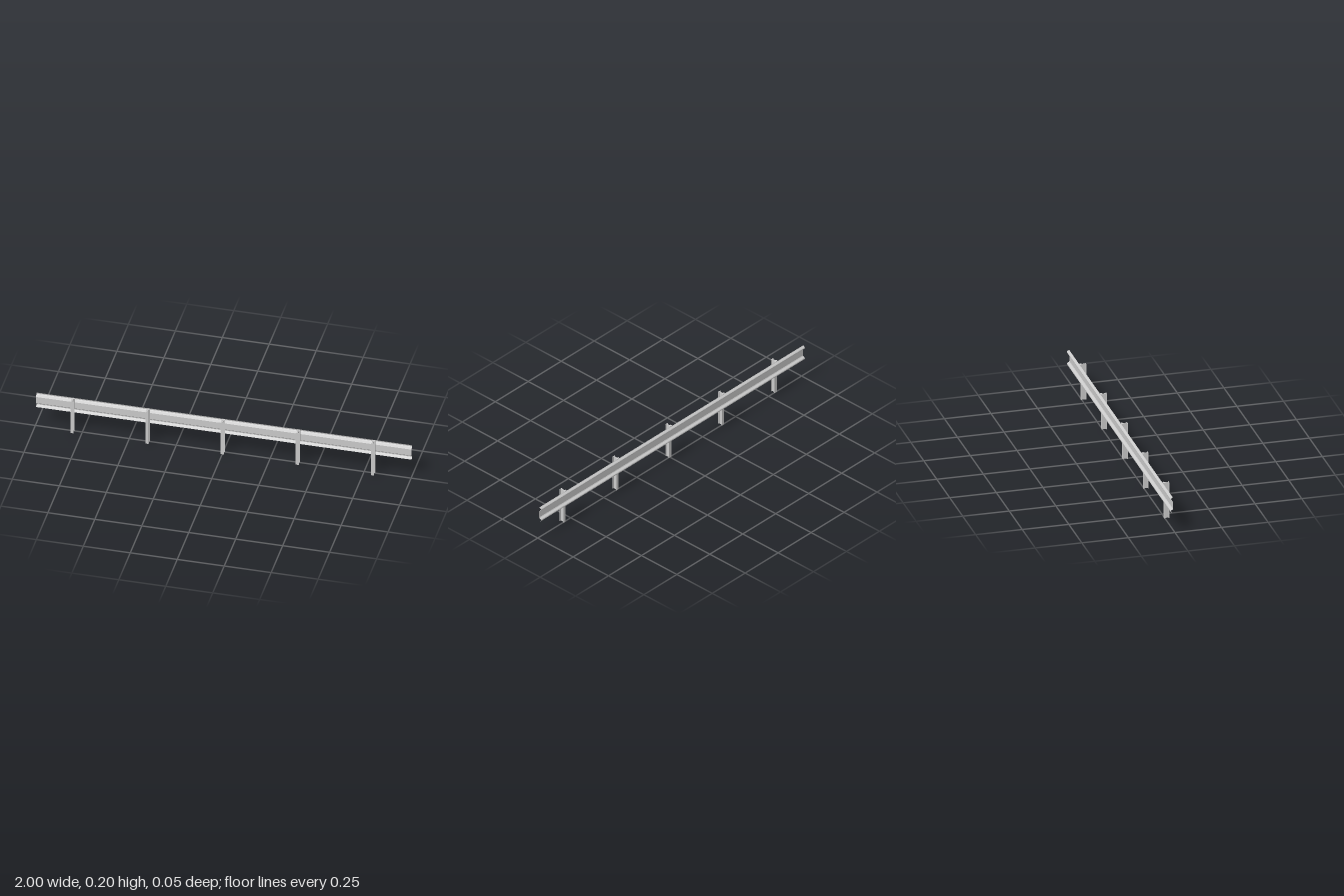
import * as THREE from 'three';

const steel = new THREE.MeshStandardMaterial({ color: 0xcccccc, flatShading: true });
const sheet = new THREE.MeshStandardMaterial({ color: 0xcccccc, flatShading: true, side: THREE.DoubleSide });

// Corrugated rail: two ridges facing -z, a flat valley between them, lips turned back
function railGeometry() {
  const midY = 0.154;
  const half = [ // [height above the middle, z], from valley to lip
    [0.019, -0.0098], [0.023, -0.0125], [0.027, -0.020], [0.030, -0.0228],
    [0.033, -0.0232], [0.036, -0.0228], [0.039, -0.020], [0.043, -0.0140], [0.046, -0.0120],
  ];
  const profile = [
    ...half.slice().reverse().map(([h, z]) => [midY - h, z]),
    ...half.map(([h, z]) => [midY + h, z]),
  ];
  const positions = [];
  const indices = [];
  profile.forEach(([y, z], i) => {
    positions.push(-1, y, z, 1, y, z);
    if (i > 0) {
      const a = 2 * (i - 1);
      indices.push(a, a + 2, a + 1, a + 1, a + 2, a + 3);
    }
  });
  const geometry = new THREE.BufferGeometry();
  geometry.setAttribute('position', new THREE.Float32BufferAttribute(positions, 3));
  geometry.setIndex(indices);
  geometry.computeVertexNormals();
  return geometry;
}

// I-section standing upright, spanning z0 (back) to z1 (front)
function beamGeometry(z0, z1, width, flange, web, height) {
  const w = width / 2, t = web / 2;
  const shape = new THREE.Shape([
    [-w, -z1], [w, -z1], [w, -z1 + flange], [t, -z1 + flange],
    [t, -z0 - flange], [w, -z0 - flange], [w, -z0], [-w, -z0],
    [-w, -z0 - flange], [-t, -z0 - flange], [-t, -z1 + flange], [-w, -z1 + flange],
  ].map(([x, y]) => new THREE.Vector2(x, y)));
  return new THREE.ExtrudeGeometry(shape, { depth: height, bevelEnabled: false }).rotateX(-Math.PI / 2);
}

export function createModel() {
  const model = new THREE.Group();
  model.name = 'guardrail';
  const add = (name, geometry, material, x, y) => {
    const mesh = new THREE.Mesh(geometry, material);
    mesh.name = name;
    mesh.position.set(x, y, 0);
    model.add(mesh);
  };

  add('rail', railGeometry(), sheet, 0, 0);

  // Posts with a spacer block between post and rail
  const post = beamGeometry(-0.0034, 0.0232, 0.017, 0.003, 0.004, 0.2);
  const spacer = new THREE.BoxGeometry(0.016, 0.065, 0.0064).translate(0, 0, -0.0066);
  for (let i = -2; i <= 2; i++) {
    add('post', post, steel, i * 0.4, 0);
    add('spacer', spacer, steel, i * 0.4, 0.1675);
  }
  return model;
}
